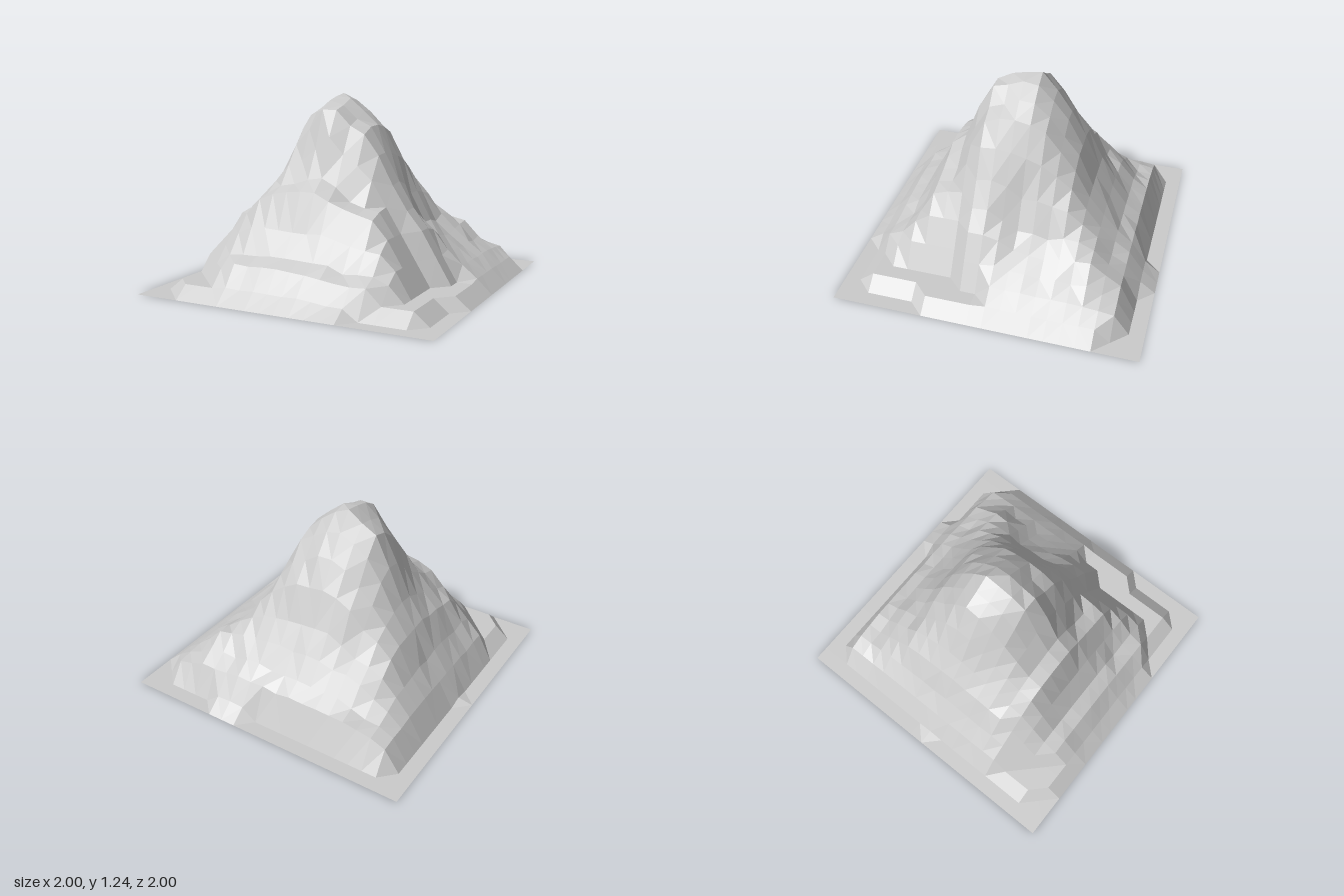
import * as THREE from 'three';

const N = 20; // grid cells per side
const PEAK = 1.24;

// Ridge profiles in steps of 0.1 from -1 to 1: across x, and from back to front along z
const ACROSS = [0, 0.02, 0.18, 0.32, 0.53, 0.70, 0.94, 1.13, 1.18, 1.24, 1.21,
  1.12, 1.05, 0.90, 0.71, 0.53, 0.40, 0.25, 0.17, 0.09, 0];
const ALONG = [0, 0.08, 0.22, 0.29, 0.42, 0.58, 0.81, 0.98, 1.13, 1.24, 1.24,
  1.21, 1.17, 0.98, 0.75, 0.65, 0.42, 0.27, 0.22, 0.09, 0];

// Local spurs (+) and gullies (-): x, z, height, radius
const FEATURES = [
  [0.34, -0.1, -0.08, 0.10],
  [0.5, -0.1, -0.10, 0.12],
  [0.52, -0.3, -0.11, 0.15],
  [0.3, -0.36, -0.04, 0.12],
  [0.6, -0.62, 0.04, 0.10],
  [0.6, 0.1, 0.03, 0.10],
  [0.22, 0.4, -0.10, 0.15],
  [0.35, 0.75, -0.05, 0.18],
  [0, 0.3, 0.04, 0.07],
  [-0.15, 0.31, -0.09, 0.09],
  [-0.36, 0.23, -0.19, 0.17],
  [-0.35, -0.32, -0.08, 0.15],
  [-0.4, -0.48, -0.05, 0.10],
  [-0.6, -0.65, -0.05, 0.10],
];

// Repeatable roughness in -1..1
function rough(i, j) {
  const s = Math.sin(i * 127.1 + j * 311.7) * 43758.5453;
  return 2 * (s - Math.floor(s)) - 1;
}

// True on the flat apron around the foot
function onApron(x, z) {
  const corner = Math.abs(x) + Math.abs(z);
  return (x < -0.85 && Math.abs(z) > 0.05)
    || (x > 0.85 && (z < -0.75 || z > 0.45))
    || (z < -0.85 && (x < 0.15 || x > 0.45))
    || (z > 0.85 && (x < -0.75 || x > 0.45))
    || (z > 0 && corner > 1.65);
}

// Height of the low shelf plus a slope rising inwards from its edge
const shelf = (inward, slope) => 0.08 + slope * Math.max(0, inward);

function heightAt(i, j) {
  const x = -1 + (2 * i) / N, z = -1 + (2 * j) / N;
  const f = ACROSS[i] / PEAK, g = ALONG[j] / PEAK;
  if (f <= 0 || g <= 0 || onApron(x, z)) return 0;

  // Round at the summit, squarer towards the foot
  let h = PEAK / Math.sqrt(1 / (f * f) + 1 / (g * g) - 1);
  for (const [fx, fz, amount, r] of FEATURES) {
    h += amount * Math.exp(-((x - fx) ** 2 + (z - fz) ** 2) / (r * r));
  }
  h += 0.015 * rough(i, j) * Math.min(1, h / 0.3);

  // Cut front corners and the front half of the left side down to the shelf
  if (z > 0) h = Math.min(h, shelf(1.4 - Math.abs(x) - z, 1));
  if (z > 0.05) h = Math.min(h, shelf(0.8 - x, 1.65));
  if (z > 0.25) h = Math.min(h, shelf(0.7 - x, 1.6));
  return Math.max(h, 0);
}

// Open faceted sheet; each cell is split along its more level diagonal
function terrainGeometry() {
  const points = [];
  for (let j = 0; j <= N; j++) {
    for (let i = 0; i <= N; i++) {
      points.push(new THREE.Vector3(-1 + (2 * i) / N, heightAt(i, j), -1 + (2 * j) / N));
    }
  }
  const triangles = [];
  for (let j = 0; j < N; j++) {
    for (let i = 0; i < N; i++) {
      const a = points[j * (N + 1) + i], b = points[j * (N + 1) + i + 1];
      const c = points[(j + 1) * (N + 1) + i], d = points[(j + 1) * (N + 1) + i + 1];
      if (Math.abs(a.y - d.y) < Math.abs(b.y - c.y)) triangles.push(a, c, d, a, d, b);
      else triangles.push(a, c, b, b, c, d);
    }
  }
  const geometry = new THREE.BufferGeometry().setFromPoints(triangles);
  geometry.computeVertexNormals();
  return geometry;
}

export function createModel() {
  const group = new THREE.Group();
  group.name = 'mountain';
  const rock = new THREE.MeshStandardMaterial({
    color: 0xcccccc, flatShading: true, side: THREE.DoubleSide,
  });
  const terrain = new THREE.Mesh(terrainGeometry(), rock);
  terrain.name = 'mountainTerrain';
  group.add(terrain);
  return group;
}
